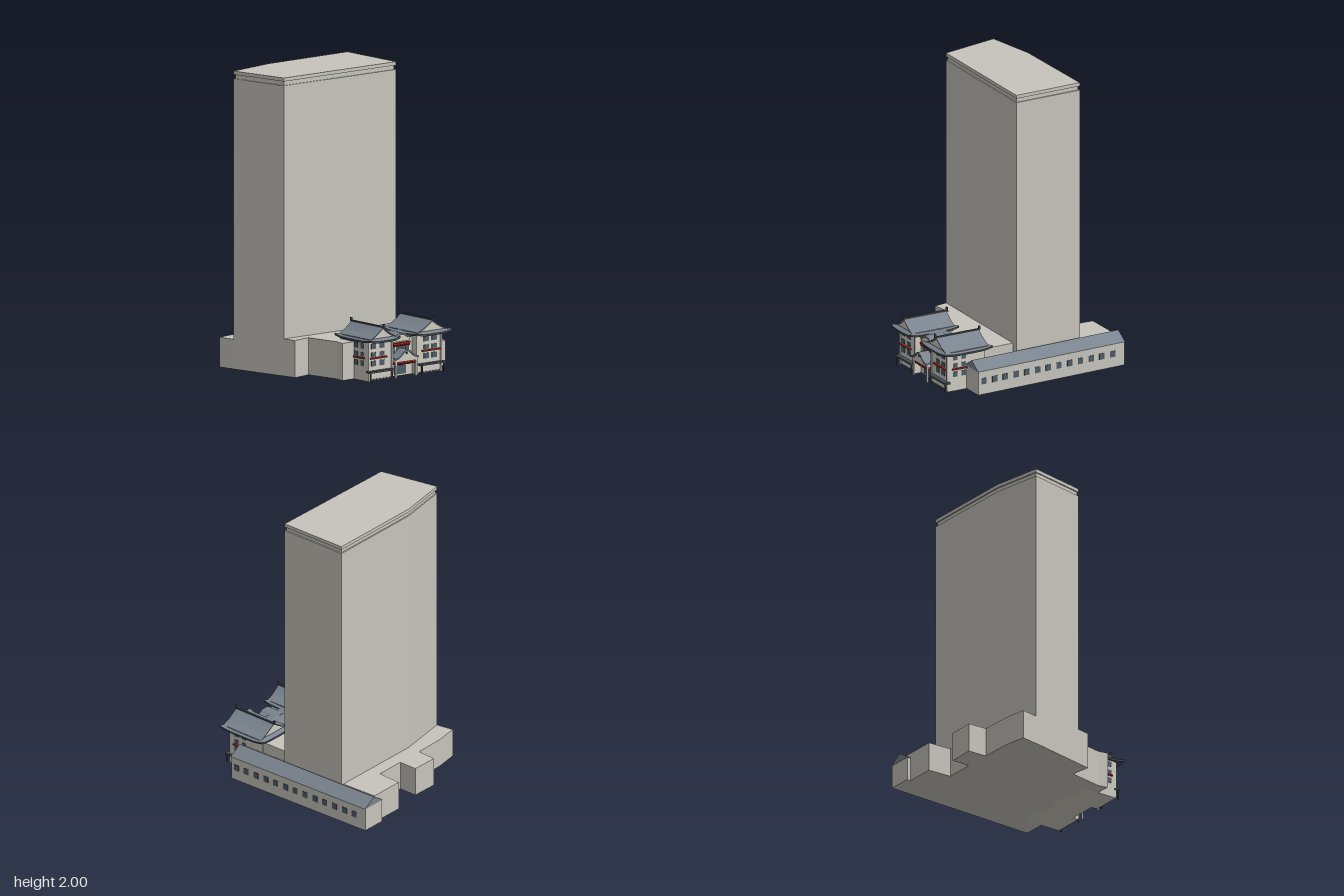
import * as THREE from 'three';

const mat = (name, color, extra = {}) => Object.assign(new THREE.MeshStandardMaterial({ color, ...extra }), { name });

export function createModel() {
  const stone = mat('stone', 0xc6c4bc);
  const plaster = mat('plaster', 0xcdcac0);
  const slate = mat('slate', 0x7a848e, { side: THREE.DoubleSide });
  const trim = mat('dark trim', 0x474d54, { side: THREE.DoubleSide });
  const glass = mat('window', 0x4c5c68);
  const red = mat('red', 0xa02a24);
  const root = new THREE.Group();

  const add = (name, geo, m, parent = root) => {
    const mesh = new THREE.Mesh(geo, m);
    mesh.name = name;
    parent.add(mesh);
    return mesh;
  };
  // box from min/max corners
  const box = (name, m, x0, x1, y0, y1, z0, z1, parent = root) => {
    const mesh = add(name, new THREE.BoxGeometry(x1 - x0, y1 - y0, z1 - z0), m, parent);
    mesh.position.set((x0 + x1) / 2, (y0 + y1) / 2, (z0 + z1) / 2);
    return mesh;
  };
  const shapeOf = pts => new THREE.Shape(pts.map(p => new THREE.Vector2(p[0], p[1])));
  // plan outline (x, z) raised from y0 to y1
  const prism = (name, m, plan, y0, y1) => {
    const g = new THREE.ExtrudeGeometry(shapeOf(plan.map(([x, z]) => [x, -z])), { depth: y1 - y0, bevelEnabled: false });
    g.rotateX(-Math.PI / 2).translate(0, y0, 0);
    return add(name, g, m);
  };
  // profile (x, y) run from z0 to z1
  const run = (pts, z0, z1) =>
    new THREE.ExtrudeGeometry(shapeOf(pts), { depth: z1 - z0, bevelEnabled: false }).translate(0, 0, z0);
  // symmetric roof shell from half profile, peak first
  const shell = (half, t) => {
    const top = [...half.slice(1).reverse().map(([x, y]) => [-x, y]), ...half];
    return [...top, ...top.map(([x, y]) => [x, y - t]).reverse()];
  };
  const infill = (half, t, base) => {
    const top = [...half.slice(1).reverse().map(([x, y]) => [-x, y - t]), ...half.map(([x, y]) => [x, y - t])];
    const w = half[half.length - 1][0];
    return [...top, [w, base], [-w, base]];
  };

  // Tower with a recessed band under the roof slab
  const plan = [[-0.575, -0.32], [-0.22, -0.38], [0.46, -0.38], [0.468, 0.108], [-0.488, 0.092]];
  const inset = plan.map(([x, z]) => [-0.05 + (x + 0.05) * 0.982, -0.13 + (z + 0.13) * 0.965]);
  prism('tower', stone, plan, 0, 1.948);
  prism('towerGroove', stone, inset, 1.948, 1.976);
  prism('towerRoofSlab', stone, plan, 1.976, 2);

  // Podium
  prism('rearPodium', stone, [[-0.595, -0.44], [-0.44, -0.465], [-0.22, -0.47], [-0.215, -0.605], [-0.03, -0.602],
    [-0.03, -0.47], [0.175, -0.47], [0.182, -0.64], [0.428, -0.64], [0.44, -0.37], [-0.22, -0.37], [-0.572, -0.315]], 0, 0.2);
  prism('frontPodium', stone, [[-0.488, 0.09], [0.42, 0.1], [0.425, 0.36], [-0.2, 0.36], [-0.2, 0.467],
    [-0.302, 0.47], [-0.29, 0.4], [-0.335, 0.162], [-0.47, 0.185]], 0, 0.25);

  // Long side wing, sheared along its length
  const wing = new THREE.Group();
  wing.name = 'sideWing';
  root.add(wing);
  const z0 = -0.668, z1 = 0.468, slope = 0.033;
  const shear = g => {
    const p = g.attributes.position;
    for (let i = 0; i < p.count; i++) p.setX(i, p.getX(i) + slope * (p.getZ(i) - z0));
    g.computeVertexNormals();
    return g;
  };
  add('wingWalls', shear(run([[0.385, 0], [0.552, 0], [0.552, 0.165], [0.385, 0.165]], z0, z1)), stone, wing);
  add('wingRoof', shear(run([[0.38, 0.163], [0.556, 0.163], [0.467, 0.22]], z0 - 0.002, z1 + 0.002)), slate, wing);
  for (let i = 0; i < 13; i++) {
    const z = 0.425 - i * 0.0833;
    const w = add('wingWindow', new THREE.BoxGeometry(0.006, 0.042, 0.04), glass, wing);
    w.position.set(0.552 + slope * (z - z0), 0.093, z);
    w.rotation.y = Math.atan(slope);
  }

  // Rings around a rectangle with upturned corners, joined into strips
  const skirt = (cx, cz, rings) => {
    const n = 8, pos = [], idx = [];
    rings.forEach(([hx, hz, y, lift]) => {
      for (let s = 0; s < 4; s++) for (let i = 0; i < n; i++) {
        const t = -1 + 2 * i / n;
        const [u, v] = [[t, 1], [1, -t], [-t, -1], [-1, t]][s];
        pos.push(cx + u * hx, y + lift * t ** 4, cz + v * hz);
      }
    });
    const m = 4 * n;
    for (let r = 0; r < rings.length - 1; r++) for (let i = 0; i < m; i++) {
      const a = r * m + i, b = r * m + (i + 1) % m;
      idx.push(a, a + m, b, b, a + m, b + m);
    }
    const g = new THREE.BufferGeometry();
    g.setAttribute('position', new THREE.Float32BufferAttribute(pos, 3));
    g.setIndex(idx);
    const flat = g.toNonIndexed();
    flat.computeVertexNormals();
    return flat;
  };

  // Gabled pavilions of the theatre
  const pavilion = (name, p) => {
    const g = new THREE.Group();
    g.name = name;
    root.add(g);
    const cx = (p.eave[0] + p.eave[1]) / 2, hx = (p.eave[1] - p.eave[0]) / 2, cz = 0.48, hz = 0.185;
    const [wx0, wx1] = p.wall;
    box('pavilionWalls', plaster, wx0, wx1, 0, 0.262, 0.33, 0.61, g);
    // flared eaves
    add('eaveTop', skirt(cx, cz, [[hx - 0.03, hz - 0.03, 0.287, 0], [hx, hz, 0.272, 0.014]]), slate, g);
    add('eaveRim', skirt(cx, cz, [[hx, hz, 0.272, 0.014], [hx - 0.002, hz - 0.002, 0.258, 0.014],
      [hx - 0.05, hz - 0.05, 0.262, 0]]), trim, g);
    // concave gable roof
    const w = hx - 0.018;
    const half = [[0, 0.36], [w * 0.28, 0.333], [w * 0.58, 0.309], [w, 0.286]];
    add('gableRoof', run(shell(half, 0.007), 0.318, 0.645), slate, g).position.x = cx;
    add('gableWall', run(infill(half, 0.005, 0.27), 0.335, 0.625), plaster, g).position.x = cx;
    box('ridge', trim, cx - 0.006, cx + 0.006, 0.354, 0.364, 0.314, 0.648, g);
    for (const z of [0.314, 0.648]) box('ridgeOrnament', trim, cx - 0.007, cx + 0.007, 0.355, 0.381, z - 0.005, z + 0.005, g);
    // windows on the front and the outer side
    for (const y of [0.233, 0.177, 0.117]) {
      const h = y === 0.177 ? 0.014 : 0.018;
      for (const x of p.cols) box('frontWindow', glass, x - 0.021, x + 0.021, y - h, y + h, 0.608, 0.614, g);
      const sx = p.side > 0 ? wx1 : wx0;
      for (const z of [0.555, 0.49]) box('sideWindow', glass, sx - 0.003, sx + 0.003, y - h, y + h, z - 0.017, z + 0.017, g);
    }
    // red balcony rails
    box('frontRail', red, p.rail[0], p.rail[1], 0.148, 0.158, 0.61, 0.626, g);
    const rx = p.side > 0 ? wx1 : wx0 - 0.012;
    box('sideRail', red, rx, rx + 0.012, 0.148, 0.158, 0.47, 0.58, g);
    // street canopy, posts and corner pillars
    box('canopy', trim, p.canopy[0], p.canopy[1], 0.058, 0.07, 0.6, 0.642, g);
    for (const x of [p.canopy[0] + 0.012, p.canopy[1] - 0.012]) box('canopyPost', trim, x - 0.004, x + 0.004, 0, 0.06, 0.63, 0.638, g);
    for (const x of [wx0 + 0.006, wx1 - 0.006]) box('cornerPillar', plaster, x - 0.006, x + 0.006, 0, 0.26, 0.606, 0.617, g);
    box('baseCourse', trim, wx0, wx1, 0, 0.012, 0.609, 0.614, g);
  };
  pavilion('leftHandPavilion', { eave: [-0.223, 0.037], wall: [-0.2, 0.012], cols: [-0.152, -0.08], rail: [-0.185, -0.045], canopy: [-0.207, 0.002], side: -1 });
  pavilion('rightHandPavilion', { eave: [0.181, 0.485], wall: [0.215, 0.435], cols: [0.302, 0.372], rail: [0.262, 0.42], canopy: [0.235, 0.45], side: 1 });

  // Centre block between the pavilions
  const c = new THREE.Group();
  c.name = 'centreBlock';
  root.add(c);
  const mx = 0.11;
  box('centreWalls', plaster, 0, 0.225, 0, 0.25, 0.34, 0.57, c);
  const across = run(shell([[0, 0.285], [0.05, 0.278], [0.11, 0.252]], 0.012), -0.09, 0.09).rotateY(Math.PI / 2);
  add('centreRoof', across, slate, c).position.set(mx, 0, 0.46);
  const dormer = [[0, 0.288], [0.03, 0.284], [0.055, 0.268], [0.08, 0.262]];
  add('upperFrontGable', run(shell(dormer, 0.012), 0.45, 0.59), slate, c).position.x = mx;
  add('upperGableWall', run(infill(dormer, 0.011, 0.23), 0.46, 0.578), plaster, c).position.x = mx;
  for (const x of [0.05, 0.09, 0.13, 0.17]) box('upperWindow', glass, x - 0.015, x + 0.015, 0.155, 0.195, 0.568, 0.574, c);
  box('upperBalcony', red, 0.035, 0.185, 0.212, 0.224, 0.57, 0.592, c);
  box('lowerBalcony', red, 0.03, 0.2, 0.096, 0.106, 0.57, 0.632, c);
  for (let i = 0; i < 9; i++) {
    const t = i / 8;
    box('upperBracket', red, 0.036 + t * 0.14, 0.044 + t * 0.14, 0.2, 0.213, 0.57, 0.588, c);
    box('lowerBracket', red, 0.032 + t * 0.155, 0.04 + t * 0.155, 0.084, 0.097, 0.57, 0.63, c);
  }

  // Entrance porch with a curved gable
  const porch = [[0, 0.187], [0.025, 0.178], [0.05, 0.156], [0.075, 0.14], [0.1, 0.134]];
  add('porchRoof', run(shell(porch, 0.012), 0.56, 0.65), slate, c).position.x = mx;
  add('porchGable', run(infill(porch, 0.01, 0.106), 0.565, 0.64), plaster, c).position.x = mx;
  box('porchOrnament', trim, mx - 0.008, mx + 0.008, 0.155, 0.172, 0.638, 0.646, c);
  for (const s of [-1, 1]) box('porchPost', plaster, mx + s * 0.088 - 0.006, mx + s * 0.088 + 0.006, 0, 0.11, 0.625, 0.637, c);
  box('entranceDoors', glass, 0.06, 0.16, 0.012, 0.07, 0.569, 0.576, c);

  return root;
}
